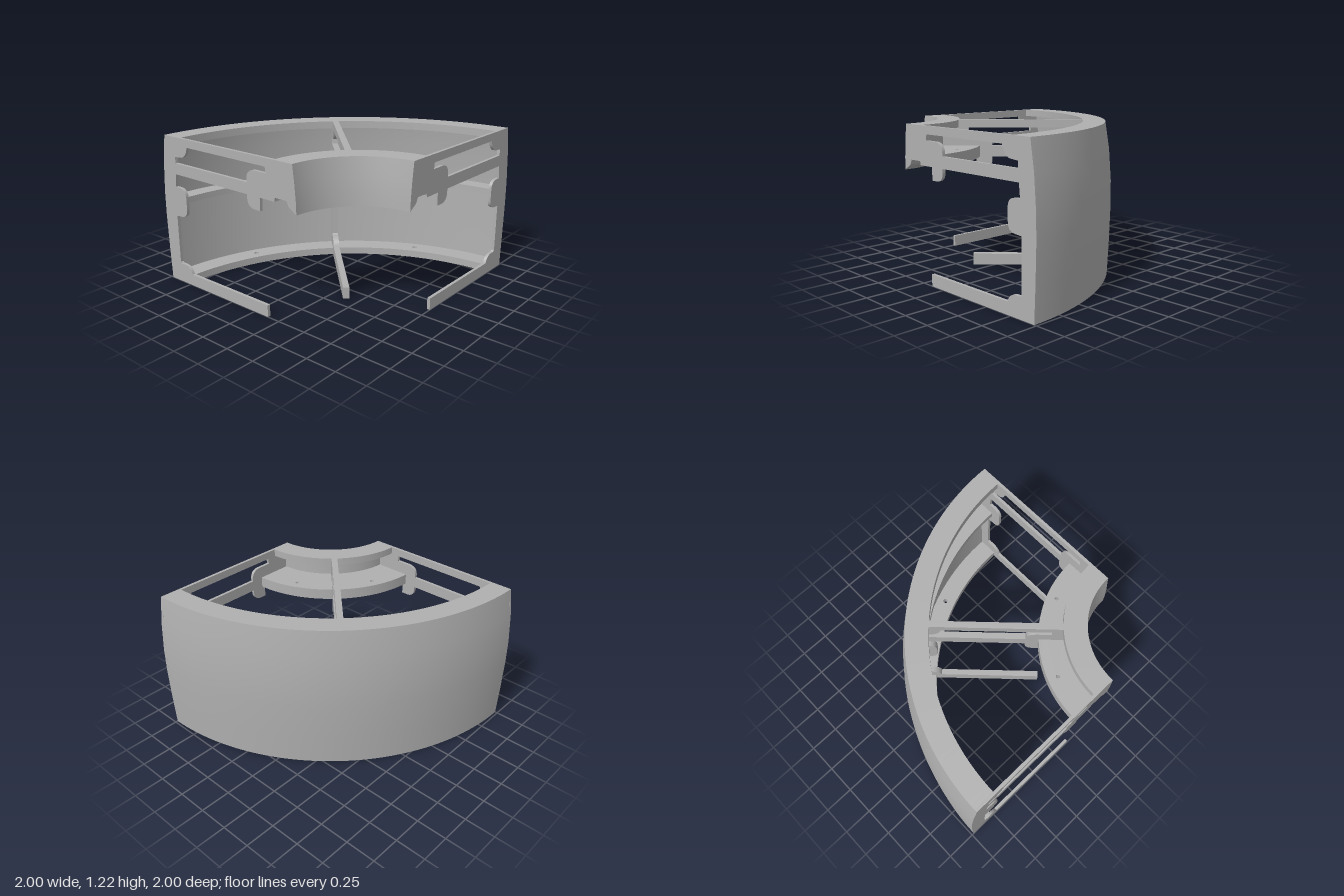
import * as THREE from 'three';
import { toCreasedNormals } from 'three/addons/utils/BufferGeometryUtils.js';

// Radius/height points shared by the revolved parts and the ribs (centre axis is r = 0)
const OUTER = [[1.98, 0], [1.991, 0.25], [2, 0.55], [1.998, 0.75], [1.98, 1.0], [1.947, 1.22]];
const BORE = [[0.58, 1.22], [0.563, 1.08], [0.553, 0.96], [0.55, 0.865]];

// Quarter revolution of a closed, counter-clockwise profile
function quarterLathe(profile, segments) {
  const pts = [...profile, profile[0]].map(([r, y]) => new THREE.Vector2(r, y));
  const geo = new THREE.LatheGeometry(pts, segments, Math.PI, Math.PI / 2);
  return toCreasedNormals(geo.toNonIndexed(), 0.5);
}

// Flat quarter annulus with two bolt holes
function quarterPlate(r0, r1, y, height, holeRadius, holeSize) {
  const s = new THREE.Shape();
  s.absarc(0, 0, r1, Math.PI / 2, Math.PI, false);
  s.absarc(0, 0, r0, Math.PI, Math.PI / 2, true);
  for (const a of [5, 7]) {
    const angle = a * Math.PI / 8;
    const hole = new THREE.Path();
    hole.absarc(Math.cos(angle) * holeRadius, Math.sin(angle) * holeRadius, holeSize, 0, Math.PI * 2, true);
    s.holes.push(hole);
  }
  const geo = new THREE.ExtrudeGeometry(s, { depth: height, bevelEnabled: false, curveSegments: 48 });
  geo.rotateX(-Math.PI / 2).translate(0, y, 0);
  return toCreasedNormals(geo, 0.5);
}

// Follows points; a four-number entry is a rounded corner
function trace(path, points) {
  points.forEach((p, i) => {
    if (i === 0) path.moveTo(p[0], p[1]);
    else if (p.length === 4) path.quadraticCurveTo(...p);
    else path.lineTo(p[0], p[1]);
  });
  return path;
}

// Radial web: top bar, upper window, middle bar, hanging lug, shell bumps and bottom bar
function ribGeometry(thickness, offset, inset) {
  const shape = trace(new THREE.Shape(), [
    [0.86, 0],
    ...OUTER.map(([r, y]) => [r - inset, y]),
    ...BORE.map(([r, y]) => [r + inset, y]),
    [0.62, 0.91], [0.64, 0.95], [0.75, 0.95], [0.76, 0.92],
    [0.9, 0.92], [0.9, 0.82], [0.95, 0.82], [1.03, 0.82, 1.03, 0.9], [1.03, 0.92],
    [1.84, 0.92], [1.85, 0.815], [1.81, 0.815], [1.73, 0.815, 1.73, 0.74],
    [1.73, 0.65], [1.73, 0.575, 1.81, 0.575], [1.86, 0.57],
    [1.86, 0.17], [1.845, 0.16], [1.8, 0.16], [1.74, 0.155, 1.72, 0.095], [0.86, 0.095],
  ]);
  shape.holes.push(trace(new THREE.Path(), [
    [1.83, 1.01], [1.03, 1.01], [1.03, 1.03], [1.03, 1.105, 0.95, 1.11], [0.835, 1.11],
    [0.84, 1.157], [1.68, 1.157], [1.69, 1.13], [1.71, 1.065, 1.78, 1.065], [1.835, 1.06],
  ]));
  const geo = new THREE.ExtrudeGeometry(shape, { depth: thickness, bevelEnabled: false, curveSegments: 10 });
  geo.translate(0, 0, offset);
  return toCreasedNormals(geo, 0.5);
}

export function createModel() {
  const group = new THREE.Group();
  group.name = 'quarterRingFrame';
  const grey = new THREE.MeshStandardMaterial({ color: 0xb0b0b0 });
  grey.name = 'grey';

  const add = (name, geo, angle = 0) => {
    const mesh = new THREE.Mesh(geo, grey);
    mesh.name = name;
    mesh.position.set(1, 0, 1);
    mesh.rotation.y = angle;
    group.add(mesh);
  };

  // Barrel-curved outer shell with top flange and middle ledge
  add('outerShell', quarterLathe([
    ...OUTER,
    [1.77, 1.22], [1.77, 1.16], [1.91, 1.16], [1.935, 1.0], [1.953, 0.715],
    [1.82, 0.715], [1.82, 0.665], [1.954, 0.665], [1.95, 0.4], [1.935, 0],
  ], 64));
  add('bottomFlange', quarterPlate(1.77, 1.96, 0, 0.06, 1.86, 0.02));

  // Inner collar with top lip and grooved underside
  add('innerCollar', quarterLathe([
    [0.55, 0.865], [0.62, 0.91], [0.64, 0.95], [0.75, 0.95], [0.76, 0.92],
    [0.76, 1.01], [0.63, 1.01], [0.63, 1.16], [0.76, 1.16], [0.76, 1.22],
    ...BORE.slice(0, -1),
  ], 48));
  add('innerShelf', quarterPlate(0.755, 0.93, 0.92, 0.09, 0.85, 0.015));

  // End ribs and the thicker diagonal rib
  add('frontRib', ribGeometry(0.025, 0, 0), Math.PI);
  add('sideRib', ribGeometry(0.025, -0.025, 0), Math.PI / 2);
  add('middleRib', ribGeometry(0.05, -0.025, 0.006), Math.PI * 0.75);

  return group;
}
